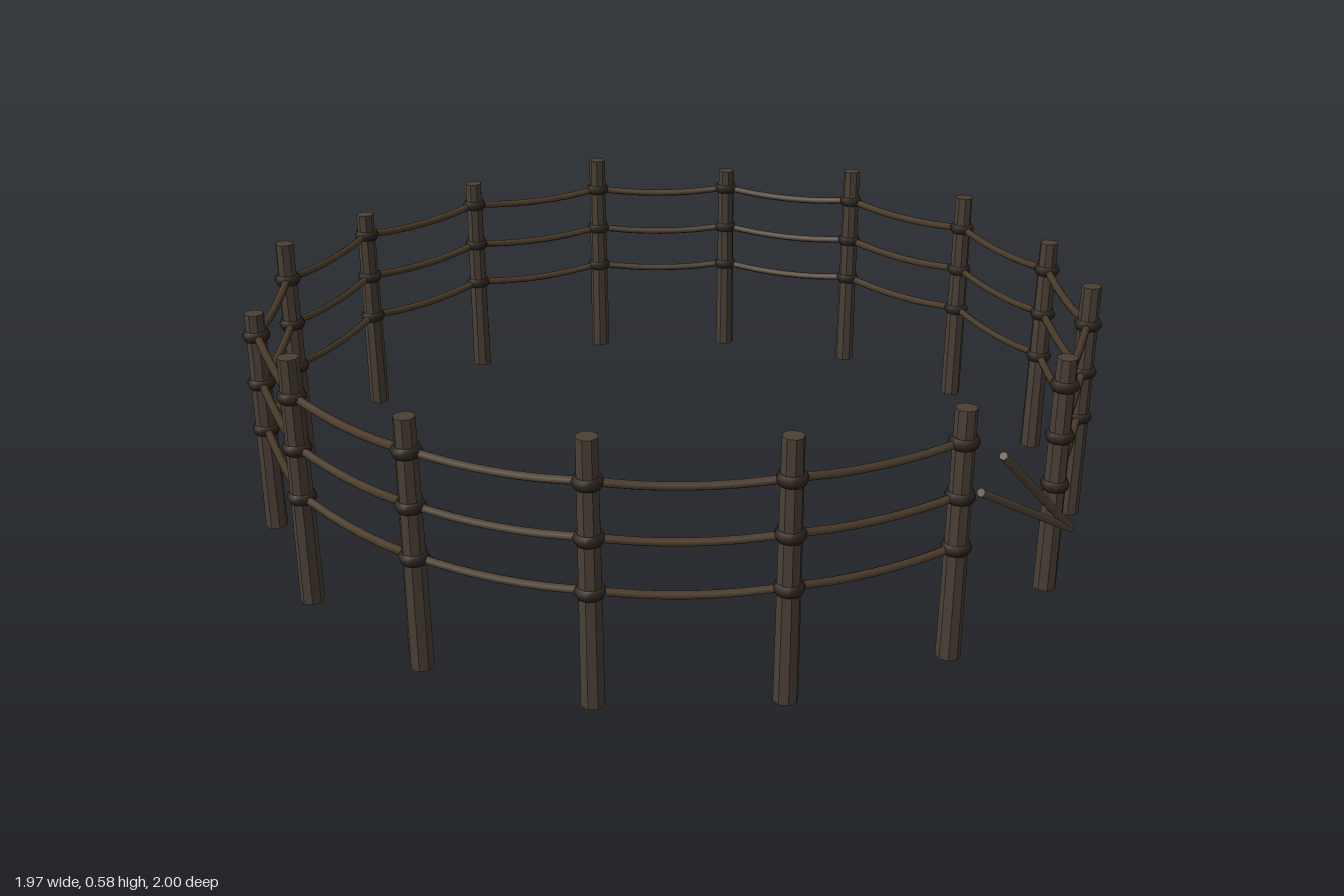
import * as THREE from 'three';

const RING_RADIUS = 0.973, CENTRE_Z = -0.018, COUNT = 16;
const RAIL_HEIGHTS = [0.255, 0.37, 0.488];
// Post heights, counted round from the front left gate post
const POST_HEIGHTS = [0.55, 0.58, 0.56, 0.575, 0.575, 0.54, 0.575, 0.55,
  0.545, 0.58, 0.54, 0.575, 0.56, 0.58, 0.575, 0.56];

const wood = new THREE.MeshStandardMaterial({ color: 0x4a3f35, flatShading: true });
const rope = new THREE.MeshStandardMaterial({ color: 0x4a3b2a });
const lashing = new THREE.MeshStandardMaterial({ color: 0x2c231c });
const pole = new THREE.MeshStandardMaterial({ color: 0x56483a });

function add(parent, name, geometry, material) {
  const mesh = new THREE.Mesh(geometry, material);
  mesh.name = name;
  parent.add(mesh);
  return mesh;
}

function postPosition(i, y = 0) {
  const a = (i + 0.5) * Math.PI * 2 / COUNT;
  return new THREE.Vector3(Math.sin(a) * RING_RADIUS, y, Math.cos(a) * RING_RADIUS + CENTRE_Z);
}

// Upright post with a lashing at every rail
function makePost(i) {
  const group = new THREE.Group();
  group.name = 'post';
  group.position.copy(postPosition(i));
  group.rotation.y = i * 1.3;
  const h = POST_HEIGHTS[i];
  const shaft = new THREE.CylinderGeometry(0.0225, 0.026, h, 8).translate(0, h / 2, 0);
  add(group, 'postShaft', shaft, wood);
  for (const y of RAIL_HEIGHTS) {
    const ring = new THREE.TorusGeometry(0.0225, 0.01, 6, 10).rotateX(Math.PI / 2).scale(1, 1.3, 1);
    add(group, 'lashing', ring, lashing).position.y = y;
  }
  return group;
}

// Rail sagging gently between two neighbouring posts
function makeRail(i, y) {
  const a = postPosition(i, y), b = postPosition(i + 1, y);
  const points = [0, 0.25, 0.5, 0.75, 1].map((t) => {
    const p = a.clone().lerp(b, t);
    p.y -= 0.014 * 4 * t * (1 - t);
    return p;
  });
  return new THREE.TubeGeometry(new THREE.CatmullRomCurve3(points), 8, 0.0095, 6);
}

// Straight round pole between two points
function makePole(parent, from, to) {
  const a = new THREE.Vector3(...from), b = new THREE.Vector3(...to);
  const dir = b.clone().sub(a);
  const mesh = add(parent, 'gatePole', new THREE.CylinderGeometry(0.0095, 0.0095, dir.length(), 6), pole);
  mesh.position.copy(a).lerp(b, 0.5);
  mesh.quaternion.setFromUnitVectors(new THREE.Vector3(0, 1, 0), dir.normalize());
}

export function createModel() {
  const model = new THREE.Group();
  model.name = 'corralFence';

  for (let i = 0; i < COUNT; i++) model.add(makePost(i));

  // Rails on every side except the front opening
  const rails = new THREE.Group();
  rails.name = 'rails';
  for (let i = 0; i < COUNT - 1; i++) {
    for (const y of RAIL_HEIGHTS) add(rails, 'rail', makeRail(i, y), rope);
  }
  model.add(rails);

  // Fallen poles leaning across the opening
  const gate = new THREE.Group();
  gate.name = 'gate';
  makePole(gate, [0.205, 0.153, 0.975], [-0.195, 0.395, 0.986]);
  makePole(gate, [0.205, 0.155, 0.975], [-0.125, 0.45, 0.988]);
  model.add(gate);

  return model;
}
